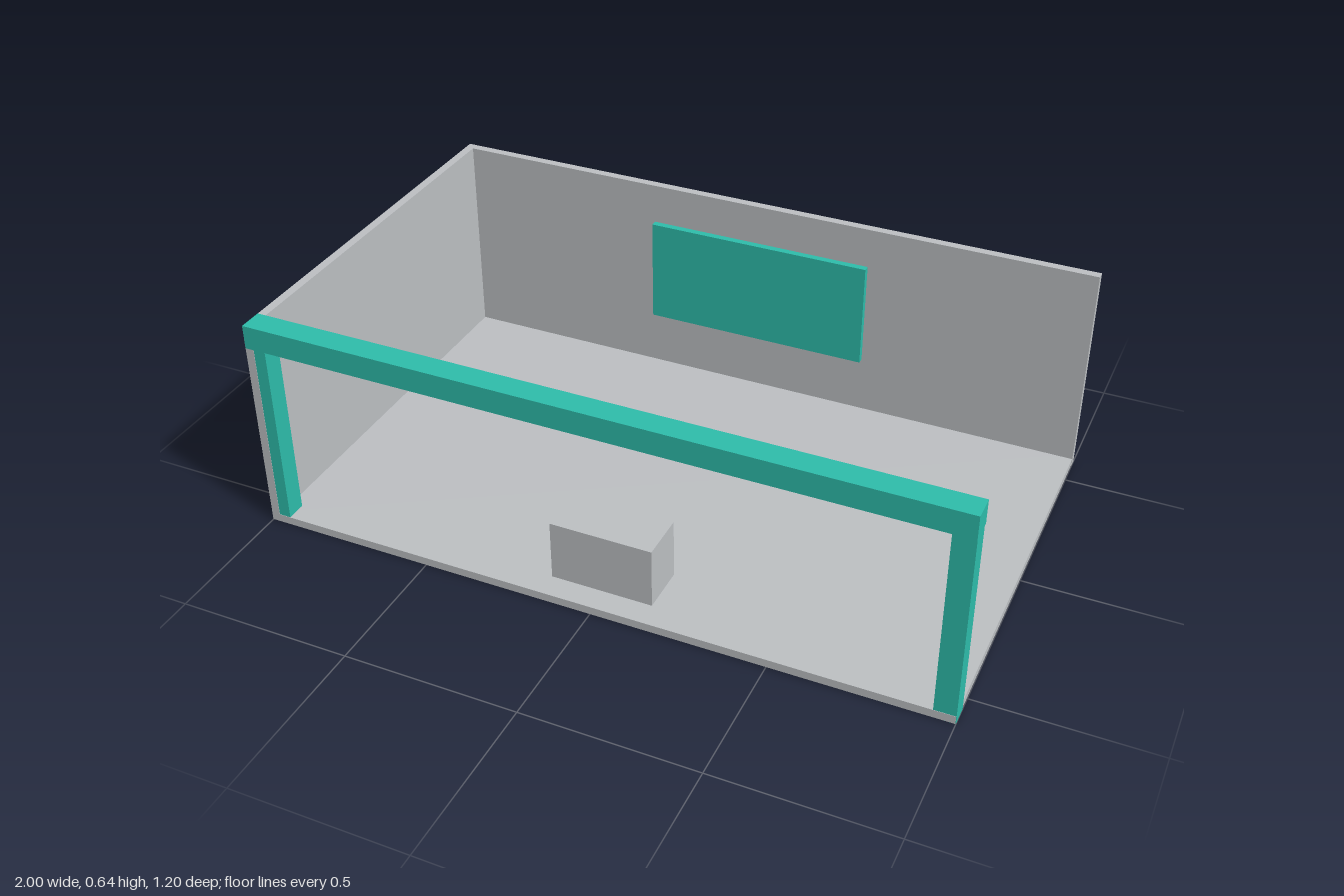
import * as THREE from 'three';

export function createModel() {
  const group = new THREE.Group();
  const grey = new THREE.MeshStandardMaterial({ color: 0xbdc0c3 });
  grey.name = 'light grey';
  const teal = new THREE.MeshStandardMaterial({ color: 0x2ebdab });
  teal.name = 'teal';

  // Axis-aligned block given by its [min, max] extents
  function block(name, material, [x0, x1], [y0, y1], [z0, z1]) {
    const mesh = new THREE.Mesh(new THREE.BoxGeometry(x1 - x0, y1 - y0, z1 - z0), material);
    mesh.position.set((x0 + x1) / 2, (y0 + y1) / 2, (z0 + z1) / 2);
    mesh.name = name;
    group.add(mesh);
  }

  // Booth shell: floor, back wall and one side wall (tiny offsets avoid coplanar faces)
  block('floor', grey, [-1, 0.999], [0.001, 0.025], [-0.6, 0.599]);
  block('backWall', grey, [-1, 1], [0.001, 0.641], [-0.6, -0.575]);
  block('sideWall', grey, [-1, -0.975], [0.001, 0.641], [-0.6, 0.599]);

  // Front portal: two posts carrying a beam
  block('rightPost', teal, [-0.999, -0.94], [0, 0.573], [0.54, 0.598]);
  block('leftPost', teal, [0.94, 1], [0, 0.573], [0.54, 0.598]);
  block('frontBeam', teal, [-0.999, 1], [0.573, 0.642], [0.53, 0.6]);

  // Wall display and its mounting plate
  block('displayPanel', teal, [-0.34, 0.34], [0.212, 0.53], [-0.557, -0.537]);
  block('displayMount', grey, [-0.33, 0.33], [0.23, 0.514], [-0.567, -0.557]);

  // Reception counter
  block('counter', grey, [-0.148, 0.148], [0.025, 0.204], [0.387, 0.527]);

  return group;
}
